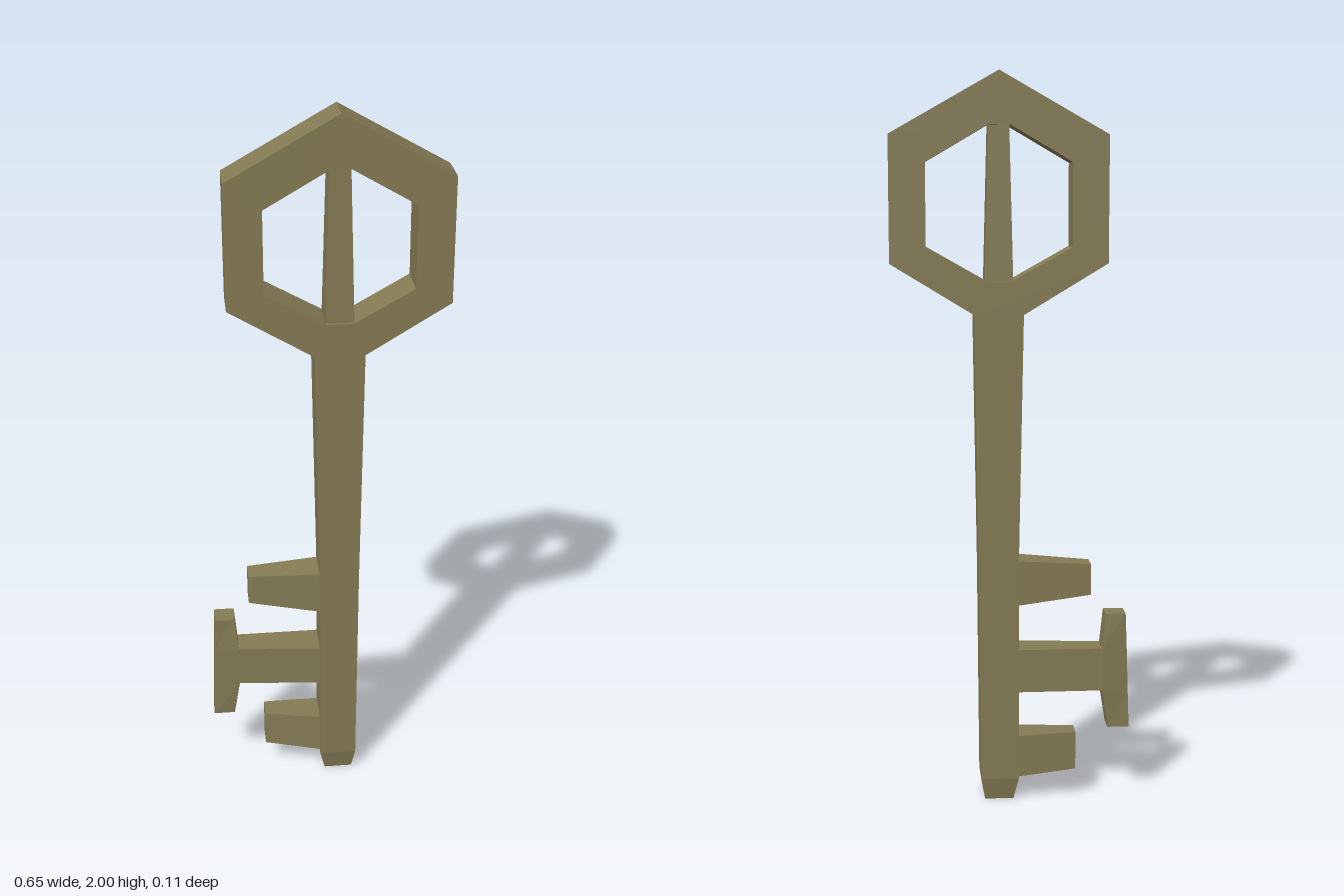
import * as THREE from 'three';

const material = new THREE.MeshStandardMaterial({ color: 0x857c55, flatShading: true });
const Z = 0.054;

// Solid through rings of four corners each, closed at both ends
function loft(name, rings) {
  const pos = [];
  const quad = (a, b, c, d) => pos.push(...a, ...b, ...c, ...a, ...c, ...d);
  for (let i = 0; i < rings.length - 1; i++) {
    const p = rings[i], q = rings[i + 1];
    for (let k = 0; k < 4; k++) {
      const n = (k + 1) % 4;
      quad(p[k], p[n], q[n], q[k]);
    }
  }
  const e = rings[rings.length - 1];
  quad(...rings[0].slice().reverse());
  quad(...e);
  const geometry = new THREE.BufferGeometry();
  geometry.setAttribute('position', new THREE.Float32BufferAttribute(pos, 3));
  geometry.computeVertexNormals();
  const mesh = new THREE.Mesh(geometry, material);
  mesh.name = name;
  return mesh;
}

// Level ring, for parts rising along y
const level = ([y, x0, x1, z0, z1]) =>
  [[x0, y, z1], [x1, y, z1], [x1, y, z0], [x0, y, z0]];

// Upright ring, for parts running out along -x
const upright = ([x, y0, y1, z0, z1]) =>
  [[x, y0, z0], [x, y0, z1], [x, y1, z1], [x, y1, z0]];

const points = (list) => list.map(([x, y]) => new THREE.Vector2(x, y));

export function createModel() {
  const key = new THREE.Group();
  key.name = 'key';

  // Six-sided bow with an open middle
  const outline = new THREE.Shape(points([
    [-0.033, 1.36], [0.1, 1.36], [0.325, 1.497], [0.325, 1.835],
    [0.033, 2], [-0.26, 1.835], [-0.26, 1.497],
  ]));
  outline.holes.push(new THREE.Path(points([
    [-0.003, 1.45], [-0.163, 1.54], [-0.163, 1.763], [0.004, 1.86],
    [0.062, 1.86], [0.228, 1.763], [0.228, 1.54], [0.069, 1.45],
  ])));
  const bowGeometry = new THREE.ExtrudeGeometry(outline, { depth: 2 * Z, bevelEnabled: false });
  bowGeometry.translate(0, 0, -Z);
  const bow = new THREE.Mesh(bowGeometry, material);
  bow.name = 'bow';
  key.add(bow);

  // Tapered bar across the bow opening
  key.add(loft('bowBar', [
    [1.45, -0.005, 0.071, -0.045, 0.045],
    [1.86, 0.005, 0.061, -0.036, 0.036],
  ].map(level)));

  // Shank with a chamfered tip
  key.add(loft('shank', [
    [0, -0.006, 0.074, -0.043, 0.043],
    [0.06, -0.02, 0.085, -Z, Z],
    [0.68, -0.02, 0.09, -Z, Z],
    [1.36, -0.033, 0.1, -Z, Z],
  ].map(level)));

  // Plain teeth, narrowing outward
  key.add(loft('upperTooth', [
    [-0.02, 0.56, 0.685, -Z, 0.042],
    [-0.22, 0.585, 0.672, -0.046, 0.013],
  ].map(upright)));
  key.add(loft('lowerTooth', [
    [-0.02, 0.067, 0.185, -Z, 0.042],
    [-0.18, 0.083, 0.19, -0.046, 0.013],
  ].map(upright)));

  // Middle tooth with its crossbar
  key.add(loft('middleTooth', [
    [-0.02, 0.312, 0.433, -Z, 0.042],
    [-0.253, 0.312, 0.433, -Z, 0.02],
  ].map(upright)));
  const arm = (y, outer, inner, zOuter, zInner) => [
    [outer, y, zOuter[1]], [inner, y, zInner[1]], [inner, y, zInner[0]], [outer, y, zOuter[0]],
  ];
  const narrow = [-0.047, 0.013], wide = [-Z, 0.02];
  key.add(loft('crossbar', [
    arm(0.203, -0.33, -0.27, narrow, narrow),
    arm(0.312, -0.326, -0.253, narrow, wide),
    arm(0.433, -0.322, -0.253, narrow, wide),
    arm(0.53, -0.318, -0.262, narrow, narrow),
  ]));

  return key;
}
